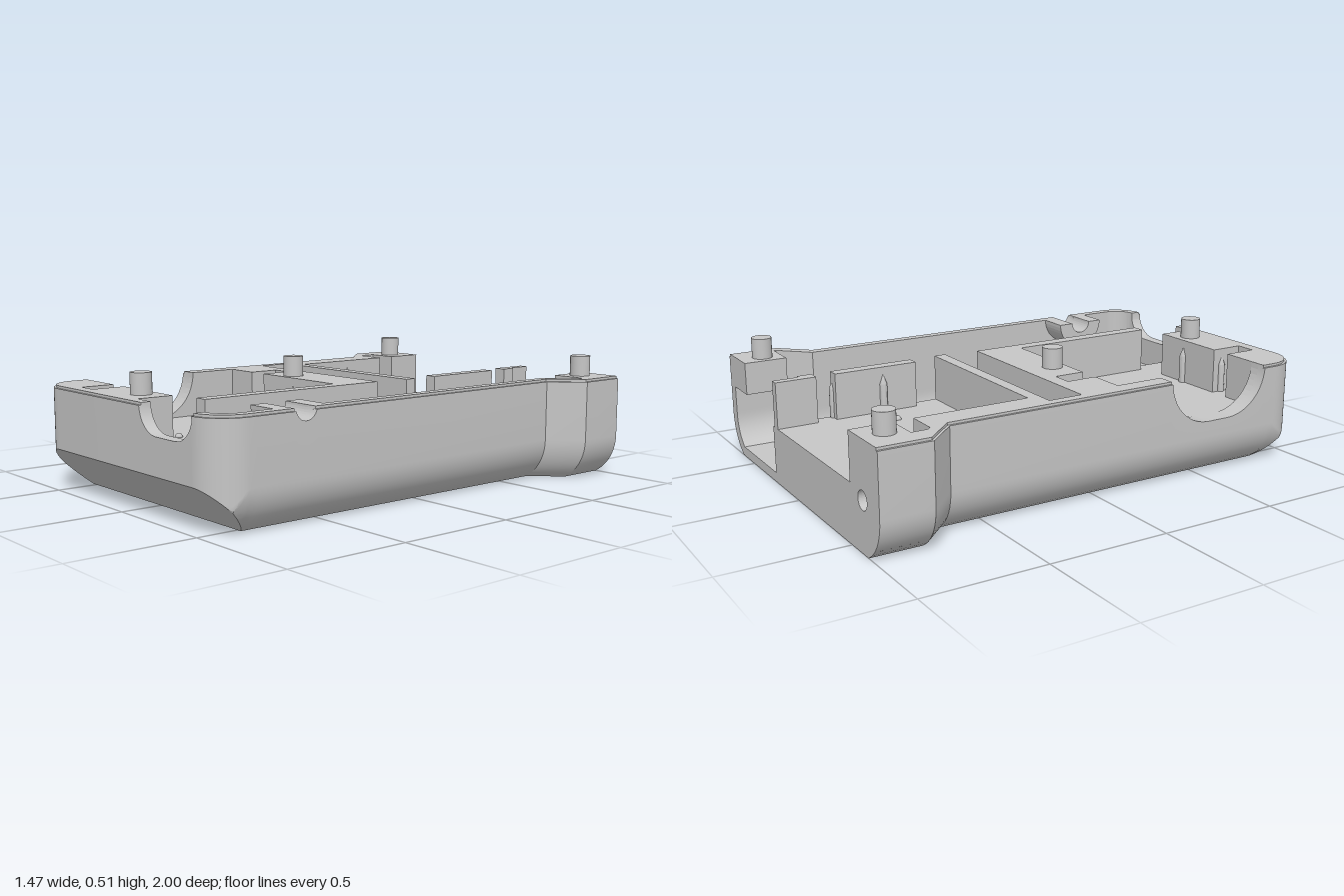
import * as THREE from 'three';
import { mergeVertices, toCreasedNormals } from 'three/addons/utils/BufferGeometryUtils.js';

const TOP = 0.425, FLOOR = 0.04, DECK = 0.235;

// drop below the rim of a cut-out from a to b with rounded lower corners
function drop(t, a, b, depth) {
  const e = Math.min(t - a, b - t);
  if (e <= 0) return 0;
  return e >= depth ? depth : Math.sqrt(depth * depth - (depth - e) ** 2);
}
const steps = (a, b, n) => Array.from({ length: n + 1 }, (_, i) => a + (b - a) * i / n);
// denser towards both ends
const eased = (a, b, n) => steps(0, Math.PI, n).map(t => a + (b - a) * (1 - Math.cos(t)) / 2);

const sideNotch = z => TOP - drop(z, 0.32, 0.8, 0.19);
const frontNotch = x => TOP - drop(x, 0.14, 0.485, 0.11);
const bowl = (z, mid, r) => TOP - Math.sqrt(Math.max(0, r * r - (z - mid) ** 2));
const groove = z => bowl(z, 0.615, 0.047);

// stations along the outline: position, inward direction, rim height
function outline() {
  const side = (m, zs, rim) => {
    const s = [[0.735, -1, -1, 0], [0.735, -0.79, -1, -0.41], [0.62, -0.67, -1, -0.41]]
      .map(([x, z, nx, nz]) => [m * x, z, m * nx, nz, TOP]);
    [...zs, 0.83].forEach(z => s.push([m * 0.62, z, -m, 0, rim(z)]));
    steps(0, Math.PI / 2, 14).forEach(a => {
      const c = Math.cos(a), n = Math.sin(a);
      s.push([m * (0.48 + 0.14 * c), 0.86 + 0.14 * n, -m * c, -n, TOP]);
    });
    return s;
  };
  const right = side(-1, eased(0.32, 0.8, 28), sideNotch);
  const left = side(1, eased(0.568, 0.662, 12), groove);
  left.pop();
  const front = eased(0.14, 0.485, 24).filter(x => x < 0.48).map(x => [x, 1, 0, -1, frontNotch(x)]);
  front.push([0.48, 1, 0, -1, frontNotch(0.48)], [0.4801, 1, 0, -1, TOP]);
  return [...right, ...front, ...left.reverse()];
}

// closed wall section at one station, from the bottom centre round to the floor centre
function section([x, z, nx, nz, h]) {
  const R = 0.1945, arc = (r, t) => r - Math.sqrt(r * r - t * t);
  const half = z < -0.6 ? Math.abs(x) : 0.62;
  const at = (d, y) => [x + nx * d, y, z + nz * d];
  const lip = Math.min(h, 0.415);
  // heights where the front slope and the side rounding end at this station
  const t = Math.min(0.1, half - Math.abs(x));
  const [y1, y2] = [THREE.MathUtils.clamp(z - 0.83, 0, 0.17), Math.max(0, 0.17 - Math.sqrt(2 * R * t - t * t))].sort((a, b) => a - b);
  const levels = [...steps(0, y1, 4), ...steps(y1, y2, 8).slice(1), ...steps(y2, 0.17, 4).slice(1)];
  const p = levels.map(y =>
    [Math.sign(x) * Math.min(Math.abs(x), half - arc(R, 0.17 - y)), y, Math.min(z, 0.83 + y)]);
  p.push(at(0, lip), at(0.01, lip), at(0.01, h), at(0.05, h), at(0.05, 0.19));
  steps(0.17, FLOOR, 6).forEach(y =>
    p.push([x + nx * (0.05 + arc(0.156, 0.17 - y)), y, Math.min(z + nz * 0.05, 0.76 + y)]));
  p.unshift([0, 0, p[0][2]]);
  p.push([0, FLOOR, p[p.length - 1][2]]);
  return p;
}

function shellGeometry(rows) {
  const pos = [], A = new THREE.Vector3(), B = new THREE.Vector3(), C = new THREE.Vector3();
  const tri = (a, b, c) => {
    A.set(...a); B.set(...b).sub(A); C.set(...c).sub(A);
    if (B.cross(C).length() > 1e-9) pos.push(...a, ...b, ...c);
  };
  for (let i = 0; i < rows.length - 1; i++) {
    for (let j = 0; j < rows[i].length - 1; j++) {
      const a = rows[i][j], b = rows[i + 1][j], c = rows[i + 1][j + 1], d = rows[i][j + 1];
      tri(a, b, c);
      tri(a, c, d);
    }
  }
  const g = new THREE.BufferGeometry();
  g.setAttribute('position', new THREE.Float32BufferAttribute(pos, 3));
  return toCreasedNormals(mergeVertices(g, 1e-5), 0.5);
}

const shapeOf = pts => new THREE.Shape(pts.map(p => new THREE.Vector2(p[0], p[1])));
const extrude = (shape, depth) => new THREE.ExtrudeGeometry(shape, { depth, bevelEnabled: false, curveSegments: 20 });
// plan outline of [x, z] points raised from y0 to y1
const slab = (pts, y0, y1) =>
  extrude(shapeOf(pts.map(([x, z]) => [x, -z])), y1 - y0).rotateX(-Math.PI / 2).translate(0, y0, 0);
// side profile of [z, y] points run from x0 to x1
const run = (pts, x0, x1) => extrude(shapeOf(pts), x1 - x0).rotateY(-Math.PI / 2).translate(x1, 0, 0);
const block = (x0, x1, y0, y1, z0, z1) =>
  new THREE.BoxGeometry(x1 - x0, y1 - y0, z1 - z0).translate((x0 + x1) / 2, (y0 + y1) / 2, (z0 + z1) / 2);

export function createModel() {
  const group = new THREE.Group();
  const grey = new THREE.MeshStandardMaterial({ color: 0xc6c6c6 });
  grey.name = 'grey plastic';
  const add = (name, geometry) => {
    const m = new THREE.Mesh(geometry, grey);
    m.name = name;
    group.add(m);
  };

  // outer shell with the cut ends at the open back
  const rows = outline().map(section);
  add('shell', shellGeometry(rows));
  [rows[0], rows[rows.length - 1]].forEach(r =>
    add('shellEnd', new THREE.ShapeGeometry(shapeOf(r.map(([x, y]) => [-x, y]))).rotateY(Math.PI).translate(0, 0, -1)));

  // raised decks of the two compartments
  add('backDeck', block(-0.5, 0.24, FLOOR - 0.01, DECK, -1, -0.225));
  add('slotDeck', block(-0.645, -0.49, 0.1, DECK, -0.83, -0.75));
  add('frontDeck', run([[-0.08, 0.03], [0.8, 0.03], [0.945, 0.175], [0.945, DECK], [-0.08, DECK]], -0.55, 0.22));

  // solid rear side, with a board slot and a screw hole in its post
  const post = shapeOf([[-0.685, 0.04], [-0.5, 0.04], [-0.5, TOP], [-0.685, TOP]]);
  post.holes.push(new THREE.Path().absarc(-0.6, 0.2, 0.037, 0, Math.PI * 2, true));
  add('screwPost', extrude(post, 0.17).translate(0, 0, -1));
  add('rearSideBlock', slab([[-0.69, -0.83], [-0.64, -0.83], [-0.64, -0.75], [-0.5, -0.75], [-0.5, -0.225],
    [-0.58, -0.225], [-0.58, -0.66], [-0.69, -0.77]], 0.1, TOP));
  add('overhangBlock', block(0.54, 0.7, 0.29, TOP, -1, -0.82));

  // walls standing on the decks
  add('divider', block(-0.51, 0.24, 0.19, TOP, -0.275, -0.225));
  add('rearGuide', slab([[0.19, -1], [0.225, -1], [0.225, -0.89], [0.24, -0.89], [0.24, -0.83], [0.19, -0.83]], 0.19, TOP));
  add('longGuide', block(0.19, 0.24, 0.19, TOP, -0.75, -0.39));
  add('frontGuide', block(0.165, 0.22, 0.19, TOP, 0.1, 0.77));
  add('middleBlock', slab([[-0.58, -0.08], [0.22, -0.08], [0.22, 0.11], [-0.305, 0.11], [-0.305, -0.02],
    [-0.39, -0.02], [-0.39, 0.11], [-0.58, 0.11]], 0.15, TOP));
  add('frontBlock', slab([[-0.585, 0.8], [-0.39, 0.8], [-0.39, 0.94], [-0.305, 0.94], [-0.305, 0.8],
    [0.05, 0.8], [0.05, 0.97], [-0.505, 0.97], [-0.585, 0.885]], 0.19, TOP));
  add('notchedSideWall', run([[0.1, 0.15], ...[0.1, ...eased(0.32, 0.8, 28)].map(z => [z, sideNotch(z)]),
    [0.81, TOP], [0.81, 0.15]], -0.58, -0.54));
  // half-round cradle for a cable
  add('cableSaddle', run([...eased(0.568, 0.662, 16).map(z => [z, groove(z)]),
    ...eased(0.5, 0.725, 24).reverse().map(z => [z, bowl(z, 0.6125, 0.1125)])], 0.44, 0.6));

  // locating pins
  [[-0.597, -0.908], [0.608, -0.9], [-0.172, 0.05], [-0.058, 0.87]].forEach(([x, z]) =>
    add('locatingPin', new THREE.CylinderGeometry(0.042, 0.042, 0.1, 32).translate(x, 0.46, z)));

  // small nubs on the decks and pointed ribs on the walls
  [[-0.385, -0.54], [0.065, -0.54], [-0.1, 0.23], [-0.1, 0.68]].forEach(([x, z]) =>
    add('nub', new THREE.SphereGeometry(0.016, 12, 8).translate(x, DECK, z)));
  const rib = [[0.016, 0], [0.016, 0.12], [0, 0.16]].map(p => new THREE.Vector2(...p));
  [[-0.5, -0.54], [0.19, -0.54], [-0.1, 0.11], [-0.1, 0.8], [-0.303, 0.065], [-0.303, 0.845],
    [-0.55, -0.745], [0.23, -0.745]].forEach(([x, z]) =>
    add('rib', toCreasedNormals(new THREE.LatheGeometry(rib, 12), 0.6).translate(x, DECK, z)));

  return group;
}
